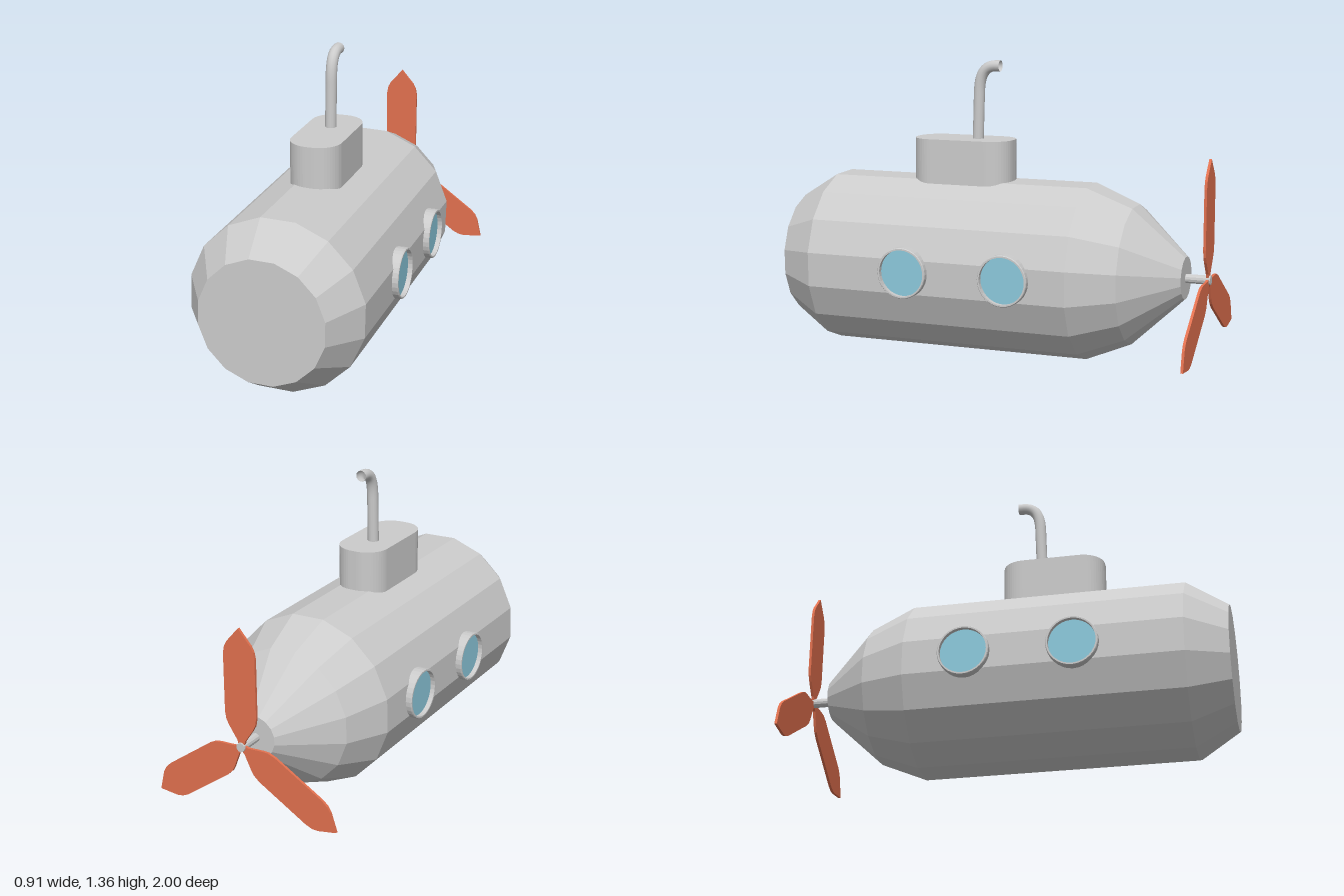
import * as THREE from 'three';

const CX = 0.01, CY = 0.403;
const grey = new THREE.MeshStandardMaterial({ color: 0xcccccc, flatShading: true });
const smoothGrey = new THREE.MeshStandardMaterial({ color: 0xcccccc, side: THREE.DoubleSide });
const red = new THREE.MeshStandardMaterial({ color: 0xe2714f });
const blue = new THREE.MeshStandardMaterial({ color: 0x8cc9dc });
const rad = THREE.MathUtils.degToRad;

function part(name, geometry, material, parent) {
  const mesh = new THREE.Mesh(geometry, material);
  mesh.name = name;
  parent.add(mesh);
  return mesh;
}

function roundedRect(w, h, r) {
  const s = new THREE.Shape();
  const x = w / 2, y = h / 2;
  s.moveTo(x, r - y);
  s.lineTo(x, y - r);
  s.absarc(x - r, y - r, r, 0, Math.PI / 2);
  s.absarc(r - x, y - r, r, Math.PI / 2, Math.PI);
  s.absarc(r - x, r - y, r, Math.PI, Math.PI * 1.5);
  s.absarc(x - r, r - y, r, Math.PI * 1.5, Math.PI * 2);
  return s;
}

// One propeller blade, pointing along +x from the hub
function bladeGeometry() {
  const half = [[0, 0.012], [0.03, 0.02], [0.09, 0.06], [0.115, 0.073], [0.15, 0.079],
    [0.42, 0.079], [0.452, 0.073], [0.477, 0.06], [0.546, 0]];
  const lower = half.map(([x, y]) => new THREE.Vector2(x, -y));
  const upper = half.slice(0, -1).reverse().map(([x, y]) => new THREE.Vector2(x, y));
  const g = new THREE.ExtrudeGeometry(new THREE.Shape([...lower, ...upper]),
    { depth: 0.012, bevelEnabled: false });
  return g.translate(0, 0, -0.006);
}

// Porthole facing +x: hollow rim with a recessed pane
function porthole(side, z) {
  const g = new THREE.Group();
  g.name = (side > 0 ? 'left' : 'right') + 'Porthole';
  const profile = [[0.107, -0.06], [0.117, -0.06], [0.117, 0.036], [0.114, 0.04],
    [0.107, 0.04], [0.107, -0.06]].map(([r, y]) => new THREE.Vector2(r, y));
  const rim = new THREE.LatheGeometry(profile, 32).rotateZ(-Math.PI / 2);
  part('portholeRim', rim, grey, g);
  const pane = new THREE.CircleGeometry(0.109, 32).rotateY(Math.PI / 2).translate(0.018, 0, 0);
  part('portholeGlass', pane, blue, g);
  g.position.set(CX + side * 0.388, 0.415, z);
  if (side < 0) g.rotation.y = Math.PI;
  return g;
}

export function createModel() {
  const model = new THREE.Group();
  model.name = 'submarine';

  // Sixteen-sided hull, flat at the nose and tapering to the stern
  const hullProfile = [[0, -0.885], [0.098, -0.885], [0.32, -0.65], [0.407, -0.44],
    [0.407, 0.815], [0.291, 1], [0, 1]].map(([r, z]) => new THREE.Vector2(r, z));
  const hull = new THREE.LatheGeometry(hullProfile, 16, rad(-12.65)).rotateX(Math.PI / 2);
  part('hull', hull, grey, model).position.set(CX, CY, 0);

  // Conning tower
  const tower = new THREE.ExtrudeGeometry(roundedRect(0.238, 0.48, 0.105),
    { depth: 0.29, bevelEnabled: false, curveSegments: 6 }).rotateX(-Math.PI / 2);
  part('conningTower', tower, grey, model).position.set(0.013, 0.703, 0.183);

  // Periscope, an open pipe bent towards the stern
  const path = new THREE.CurvePath();
  const a = new THREE.Vector3(CX, 0.97, 0.122), b = new THREE.Vector3(CX, 1.21, 0.115);
  const c = new THREE.Vector3(CX, 1.333, 0.035), d = new THREE.Vector3(CX, 1.333, 0.01);
  path.add(new THREE.LineCurve3(a, b));
  path.add(new THREE.CubicBezierCurve3(b, new THREE.Vector3(CX, 1.29, 0.112),
    new THREE.Vector3(CX, 1.33, 0.09), c));
  path.add(new THREE.LineCurve3(c, d));
  part('periscope', new THREE.TubeGeometry(path, 32, 0.026, 14), smoothGrey, model);

  // Portholes, two on each side
  for (const side of [1, -1]) {
    for (const z of [0.33, -0.157]) model.add(porthole(side, z));
  }

  // Propeller shaft and three blades
  const shaft = new THREE.CylinderGeometry(0.021, 0.021, 0.14, 12).rotateX(Math.PI / 2);
  part('propellerShaft', shaft, grey, model).position.set(CX, CY - 0.002, -0.93);
  const propeller = new THREE.Group();
  propeller.name = 'propeller';
  propeller.position.set(CX, CY - 0.002, -0.986);
  const blade = bladeGeometry();
  for (const angle of [90, 211, -35.7]) {
    part('propellerBlade', blade, red, propeller).rotation.z = rad(angle);
  }
  model.add(propeller);

  return model;
}
